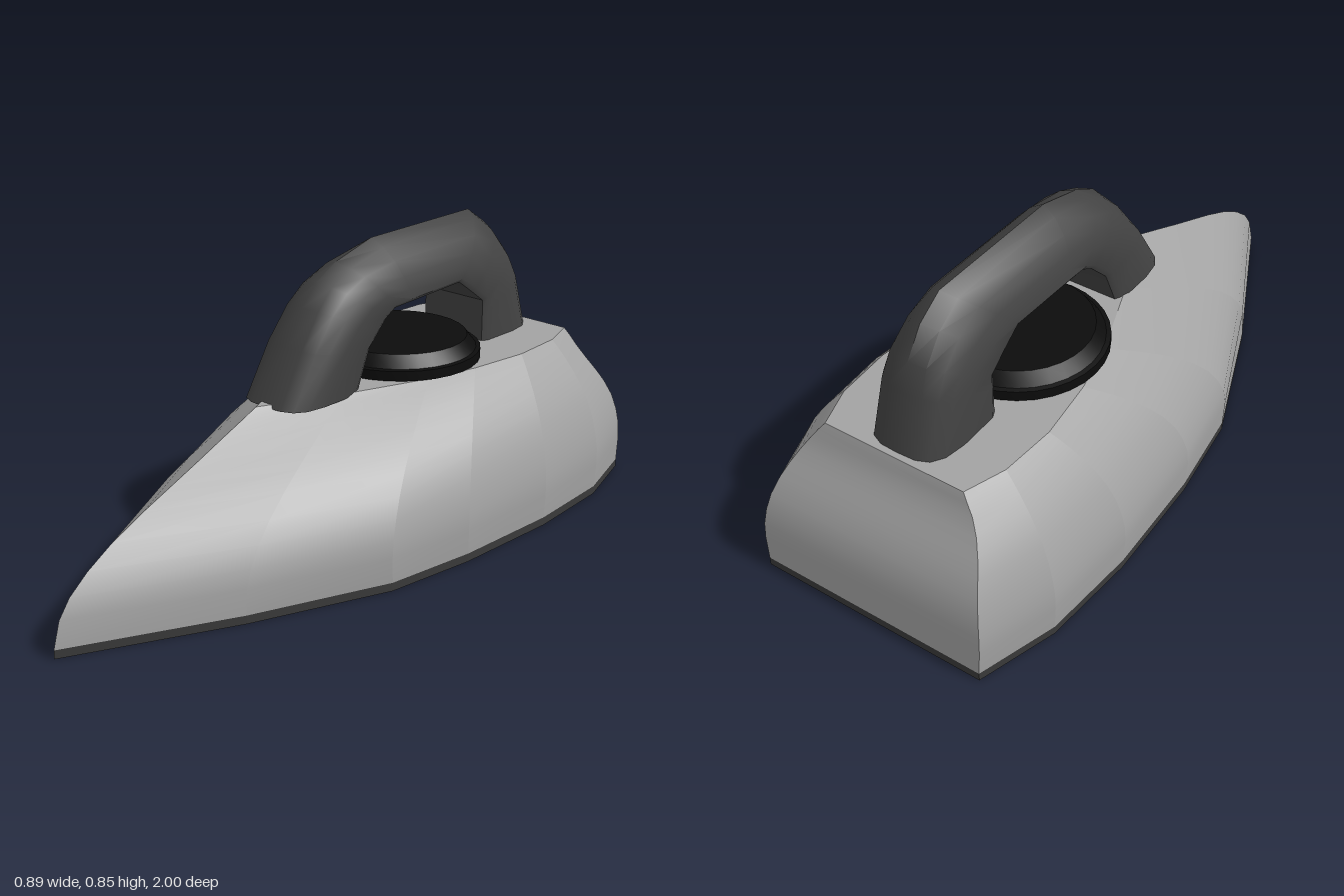
import * as THREE from 'three';
import { mergeGeometries, toCreasedNormals } from 'three/addons/utils/BufferGeometryUtils.js';

const V = (x, y, z) => new THREE.Vector3(x, y, z);
const lerp = THREE.MathUtils.lerp;

// Surface through a list of rows, each an equally long list of points
function loft(rows) {
  const n = rows[0].length, pos = [], index = [];
  rows.forEach(r => r.forEach(p => pos.push(p.x, p.y, p.z)));
  for (let i = 0; i < rows.length - 1; i++) {
    for (let j = 0; j < n - 1; j++) {
      const a = i * n + j, b = a + 1, d = a + n, c = d + 1;
      index.push(a, b, c, a, c, d);
    }
  }
  const g = new THREE.BufferGeometry();
  g.setAttribute('position', new THREE.Float32BufferAttribute(pos, 3));
  g.setIndex(index);
  g.computeVertexNormals();
  return g;
}

// Ribs on the left half, nose to tail: bottom x, z; top x, z; nose share; tail share
const RIBS = [
  [0, 0.995, 0, 0.27, 1, 0],
  [0.225, 0.54, 0.11, 0.03, 0.7, 0],
  [0.385, 0.14, 0.205, -0.22, 0.25, 0],
  [0.425, -0.14, 0.245, -0.38, 0.05, 0],
  [0.44, -0.48, 0.27, -0.57, 0, 0],
  [0.42, -0.77, 0.26, -0.74, 0, 0],
  [0.35, -1, 0.22, -0.86, 0, 1],
];
// Height, then how far the side, nose and tail have moved in to the top edge
const LEVELS = [
  [0.025, 0, 0, 0],
  [0.10, -0.03, 0.03, 0.01],
  [0.15, -0.02, 0.08, 0.03],
  [0.20, 0.03, 0.165, 0.09],
  [0.25, 0.11, 0.28, 0.20],
  [0.30, 0.23, 0.43, 0.38],
  [0.34, 0.36, 0.565, 0.56],
  [0.38, 0.52, 0.70, 0.74],
  [0.42, 0.71, 0.83, 0.88],
  [0.45, 0.87, 0.93, 0.94],
  [0.472, 1, 1, 1],
];

function ribPoints([xb, zb, xt, zt, nose, tail]) {
  return LEVELS.map(([y, side, front, back]) => {
    const f = lerp(side, front, nose);
    return V(lerp(xb, xt, f), y, lerp(zb, zt, lerp(f, back, tail)));
  });
}

// Flat outline from a closed ring of points, laid level
function outline(points) {
  return new THREE.Shape(points.map(p => new THREE.Vector2(p.x, -p.z)));
}

function bodyParts() {
  const half = RIBS.map(ribPoints);
  const other = half.slice(1).reverse().map(r => r.map(p => V(-p.x, p.y, p.z)));
  const ribs = [...half, ...other];
  // Each panel is smooth from bottom to top, with an edge at every rib
  const panels = ribs.map((r, k) => {
    const next = ribs[(k + 1) % ribs.length];
    return loft(r.map((p, i) => [p, next[i]]));
  });
  const top = new THREE.ShapeGeometry(outline(ribs.map(r => r[r.length - 1])));
  top.rotateX(-Math.PI / 2).translate(0, 0.472, 0);
  const sole = new THREE.ExtrudeGeometry(outline(ribs.map(r => r[0])), { depth: 0.025, bevelEnabled: false });
  sole.rotateX(-Math.PI / 2);
  return { shell: mergeGeometries(panels), top, sole };
}

// Handle stations: outer z, y; inner z, y; how ridged the section is
const STATIONS = [
  [0.235, 0.462, -0.02, 0.462, 0],
  [0.15, 0.61, -0.07, 0.58, 0.1],
  [0.085, 0.71, -0.11, 0.62, 0.3],
  [0.03, 0.77, -0.14, 0.65, 0.5],
  [-0.05, 0.812, -0.18, 0.672, 0.7],
  [-0.2, 0.852, -0.25, 0.674, 1],
  [-0.64, 0.852, -0.47, 0.682, 1],
  [-0.72, 0.80, -0.53, 0.64, 0.7],
  [-0.775, 0.72, -0.585, 0.60, 0.4],
  [-0.80, 0.64, -0.585, 0.56, 0.15],
  [-0.845, 0.462, -0.585, 0.462, 0],
];
// Half sections as half width and depth from outer to inner
const ROUND = [[0, 0], [0.055, 0.01], [0.09, 0.07], [0.112, 0.2], [0.122, 0.45], [0.12, 0.92], [0.11, 1]];
const RIDGED = [[0, 0], [0.04, 0.13], [0.075, 0.34], [0.097, 0.58], [0.11, 0.8], [0.114, 0.95], [0.108, 1]];

function handleGeometry() {
  const rings = STATIONS.map(([zo, yo, zi, yi, p]) => {
    const half = ROUND.map(([x, d], k) => {
      const t = lerp(d, RIDGED[k][1], p);
      return V(lerp(x, RIDGED[k][0], p), lerp(yo, yi, t), lerp(zo, zi, t));
    });
    const mirrored = half.slice().reverse().map(q => V(-q.x, q.y, q.z));
    return [...half, ...mirrored];
  });
  // Close both feet
  const foot = ring => {
    const c = V(0, 0.462, (ring[0].z + ring[6].z) / 2);
    return ring.map(() => c);
  };
  const rows = [foot(rings[0]), ...rings, foot(rings[rings.length - 1])];
  return toCreasedNormals(loft(rows), 0.7);
}

export function createModel() {
  const paint = (name, color) => {
    const m = new THREE.MeshStandardMaterial({ color });
    m.name = name;
    return m;
  };
  const grey = paint('bodyGrey', 0xa3a3a3);
  const soleGrey = paint('soleGrey', 0x3a3a3a);
  const handleGrey = paint('handleGrey', 0x424242);
  const black = paint('dialBlack', 0x0c0c0c);

  const model = new THREE.Group();
  model.name = 'clothesIron';
  const add = (name, geometry, material) => {
    const mesh = new THREE.Mesh(geometry, material);
    mesh.name = name;
    model.add(mesh);
    return mesh;
  };

  const { shell, top, sole } = bodyParts();
  add('bodyShell', shell, grey);
  add('bodyTop', top, grey);
  add('solePlate', sole, soleGrey);
  add('handle', handleGeometry(), handleGrey);

  // Temperature dial under the handle
  const profile = [[0.225, 0.47], [0.23, 0.476], [0.245, 0.476], [0.245, 0.505], [0.232, 0.507], [0.205, 0.542], [0, 0.542]];
  const dial = new THREE.LatheGeometry(profile.map(p => new THREE.Vector2(...p)), 32);
  add('temperatureDial', toCreasedNormals(dial, 0.5), black).position.z = -0.32;

  return model;
}
